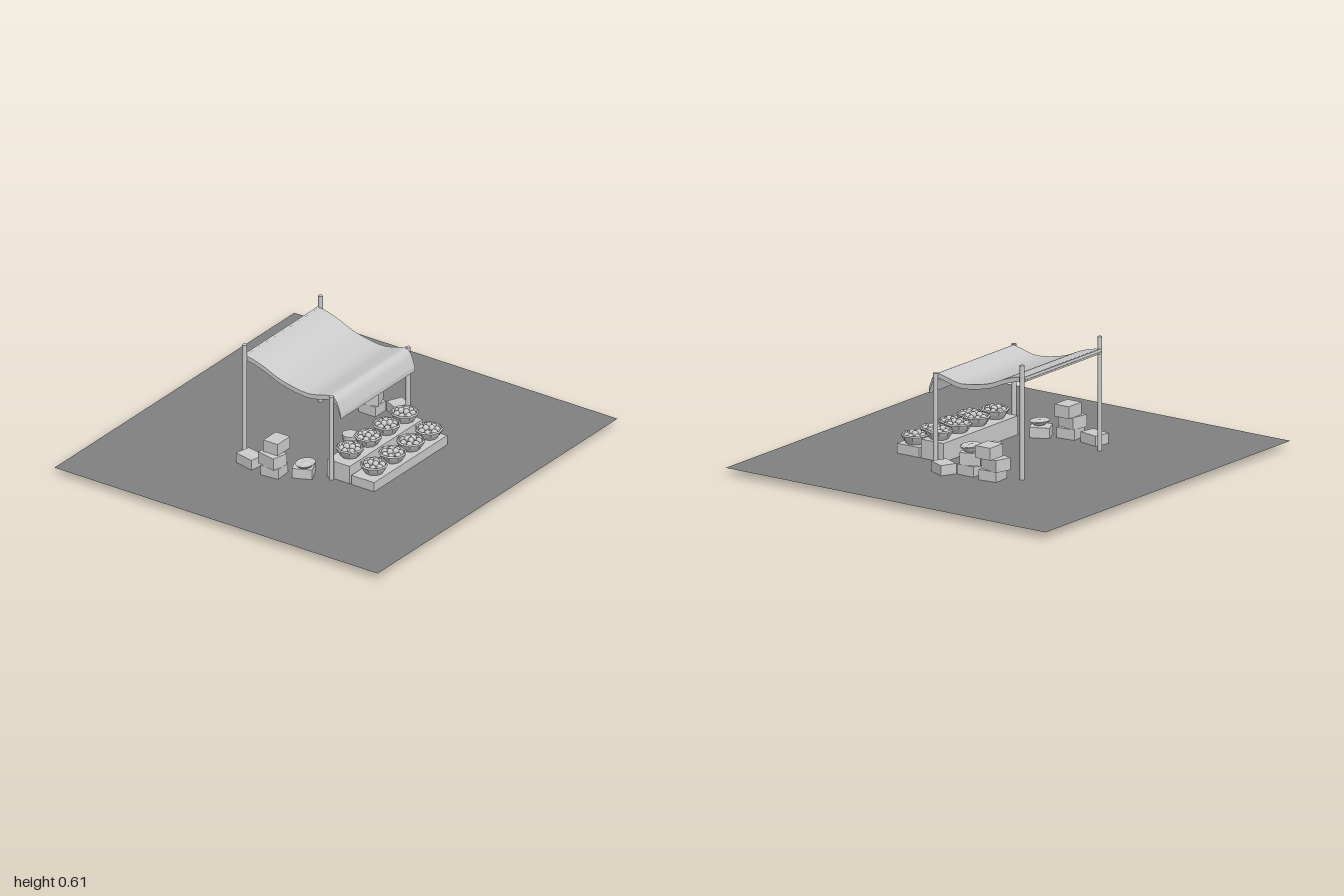
import * as THREE from 'three';
import { toCreasedNormals } from 'three/addons/utils/BufferGeometryUtils.js';

export function createModel() {
  const model = new THREE.Group();
  model.name = 'marketStall';
  const grey = new THREE.MeshStandardMaterial({ color: 0xcccccc });
  const faceted = new THREE.MeshStandardMaterial({ color: 0xcccccc, flatShading: true, side: THREE.DoubleSide });
  const dark = new THREE.MeshStandardMaterial({ color: 0x808080, side: THREE.DoubleSide });

  function add(name, geometry, x, y, z, material = grey, parent = model) {
    const mesh = new THREE.Mesh(geometry, material);
    mesh.name = name;
    mesh.position.set(x, y, z);
    parent.add(mesh);
    return mesh;
  }

  // Ground sheet; the props sink slightly into it
  add('ground', new THREE.PlaneGeometry(2, 1.92).rotateX(-Math.PI / 2), 0, 0.035, 0, dark);

  // Four posts and the rod at the back
  for (const s of [-1, 1]) {
    add('backPost', new THREE.CylinderGeometry(0.012, 0.012, 0.61, 10), s * 0.317, 0.305, -0.318);
    add('frontPost', new THREE.CylinderGeometry(0.012, 0.012, 0.465, 10), s * 0.32, 0.2525, 0.2);
  }
  add('awningRod', new THREE.CylinderGeometry(0.009, 0.009, 0.63, 8).rotateZ(Math.PI / 2), 0, 0.542, -0.325);

  // Sagging awning: a side profile (z, y) extruded across the stall
  const top = new THREE.SplineCurve([
    [-0.33, 0.55], [-0.27, 0.54], [-0.2, 0.517], [-0.1, 0.477], [0.05, 0.453], [0.15, 0.473],
    [0.195, 0.481], [0.222, 0.462], [0.238, 0.425], [0.248, 0.395],
  ].map(([z, y]) => new THREE.Vector2(z, y))).getPoints(36);
  const under = top.map((p) => new THREE.Vector2(p.x, p.y - 0.024)).reverse();
  const cloth = new THREE.ExtrudeGeometry(new THREE.Shape([...top, ...under]), { depth: 0.62, bevelEnabled: false });
  cloth.translate(0, 0, -0.31).rotateY(-Math.PI / 2);
  add('awning', toCreasedNormals(cloth, 0.7), 0, 0, 0);

  // Stepped display benches
  add('frontBench', new THREE.BoxGeometry(0.61, 0.06, 0.135), -0.005, 0.055, 0.38);
  add('backBench', new THREE.BoxGeometry(0.61, 0.105, 0.135), -0.005, 0.0775, 0.235);

  // Bowls with a ring-stacked heap of fruit
  const bowlGeometry = new THREE.LatheGeometry([
    [0, 0], [0.045, 0], [0.06, 0.022], [0.071, 0.043], [0.064, 0.049], [0.056, 0.03], [0, 0.022],
  ].map(([r, y]) => new THREE.Vector2(r, y)), 9);
  const fruitGeometry = new THREE.SphereGeometry(0.0165, 9, 7);
  const rings = [[7, 0.04, 0.038], [3, 0.017, 0.05]];

  function fruitBowl(x, y, z, turn) {
    const bowl = new THREE.Group();
    bowl.name = 'fruitBowl';
    bowl.position.set(x, y, z);
    bowl.rotation.y = turn;
    add('bowl', bowlGeometry, 0, 0, 0, faceted, bowl);
    for (const [count, radius, height] of rings) {
      for (let i = 0; i < count; i++) {
        const a = (i / count) * Math.PI * 2;
        add('fruit', fruitGeometry, radius * Math.cos(a), height, radius * Math.sin(a), grey, bowl);
      }
    }
    model.add(bowl);
  }
  for (let i = 0; i < 4; i++) {
    const x = -0.215 + i * 0.152;
    fruitBowl(x, 0.085, 0.38, i * 0.9);
    fruitBowl(x, 0.132, 0.236, i * 1.3 + 0.4);
  }

  // Crates beside the stall: x, z, layer, turn in degrees, width, depth
  const crates = [
    [0.39, -0.195, 0, 5, 0.1, 0.1],
    [0.39, -0.215, 1, -15, 0.09, 0.11],
    [0.413, -0.19, 2, 0, 0.105, 0.09],
    [0.38, -0.055, 0, 0, 0.09, 0.1],
    [0.375, -0.062, 1, 20, 0.09, 0.105],
    [0.44, 0.063, 0, -25, 0.085, 0.1],
    [-0.415, -0.215, 0, -12, 0.085, 0.11],
    [-0.43, -0.06, 0, 5, 0.095, 0.1],
    [-0.438, -0.065, 1, -12, 0.09, 0.11],
    [-0.402, -0.066, 2, 0, 0.105, 0.085],
    [-0.36, 0.065, 0, 25, 0.09, 0.1],
  ];
  for (const [x, z, layer, turn, w, d] of crates) {
    const crate = add('crate', new THREE.BoxGeometry(w, 0.062, d), x, 0.056 + layer * 0.0625, z);
    crate.rotation.y = THREE.MathUtils.degToRad(turn);
  }

  // Shallow oval baskets with a low mound, resting on crates
  const basketGeometry = new THREE.LatheGeometry([
    [0, 0], [0.03, 0], [0.05, 0.012], [0.064, 0.03], [0.056, 0.033], [0.035, 0.029], [0, 0.036],
  ].map(([r, y]) => new THREE.Vector2(r, y)), 12);
  add('basket', basketGeometry, 0.388, 0.151, -0.063, faceted).scale.set(1, 1.05, 0.78);
  add('basket', basketGeometry, -0.368, 0.087, 0.08, faceted).scale.set(0.9, 0.75, 0.72);

  // Round stool under the awning
  add('stool', new THREE.CylinderGeometry(0.042, 0.034, 0.065, 12), 0.037, 0.0575, 0.06);

  return model;
}
